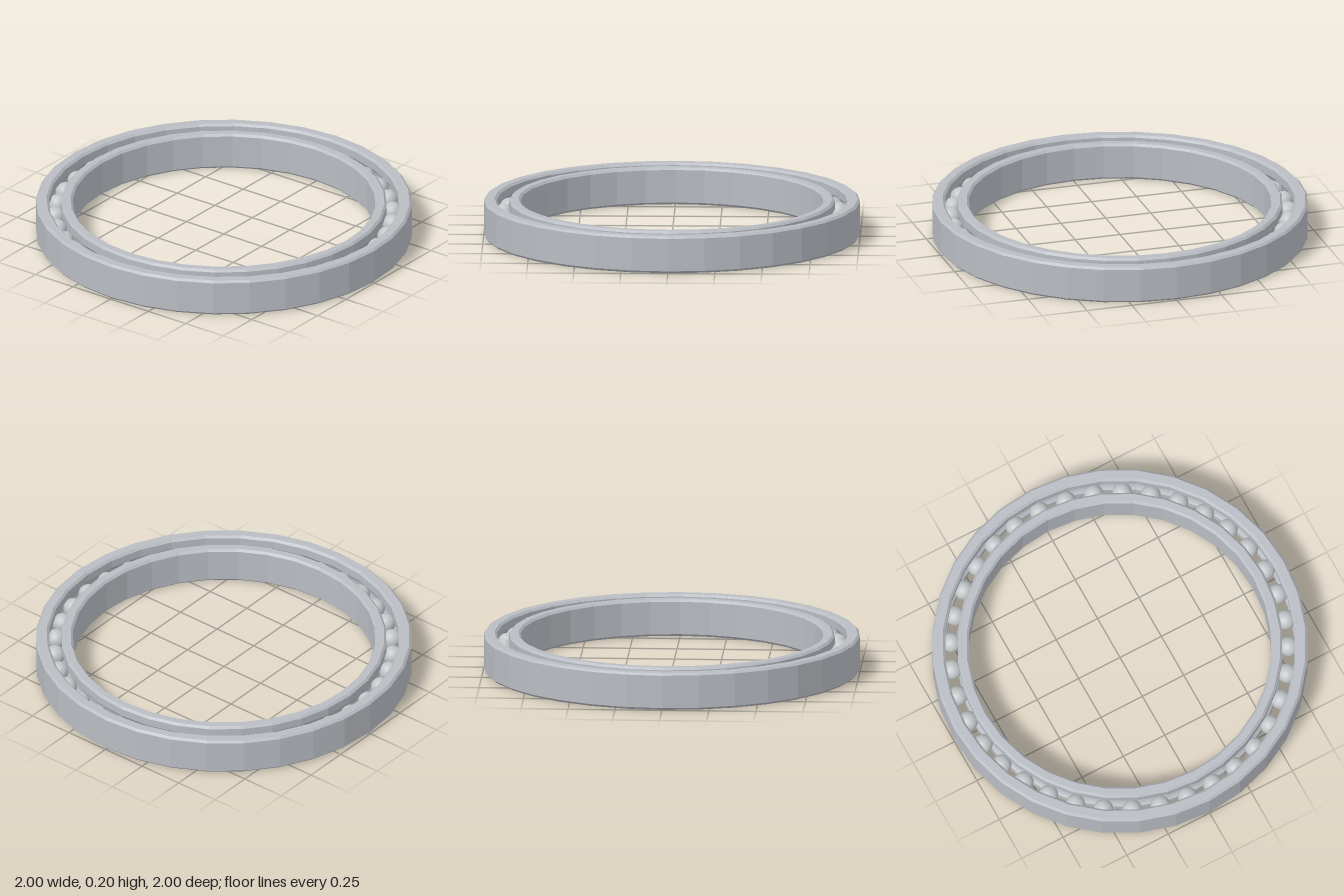
import * as THREE from 'three';

const HEIGHT = 0.2, BEVEL = 0.012, SEGMENTS = 32;
const ORBIT = 0.898, BALL_RADIUS = 0.053, BALLS = 37, GROOVE = 0.056;

// Points of the raceway groove where it cuts a wall of the given radius
function groove(wall, up) {
  const side = Math.sign(wall - ORBIT);
  const half = Math.acos(Math.abs(wall - ORBIT) / GROOVE);
  const points = [];
  for (let i = 0; i <= 8; i++) {
    const a = half * (i / 4 - 1) * (up ? 1 : -1);
    points.push(new THREE.Vector2(ORBIT + side * GROOVE * Math.cos(a), HEIGHT / 2 + GROOVE * Math.sin(a)));
  }
  return points;
}

// Closed, bevelled ring section turned around the y axis
function ring(name, inner, outer, grooveOutside, material) {
  const p = (x, y) => new THREE.Vector2(x, y);
  const b = BEVEL;
  const profile = [
    p(inner + b, 0), p(outer - b, 0), p(outer, b),
    ...(grooveOutside ? groove(outer, true) : []),
    p(outer, HEIGHT - b), p(outer - b, HEIGHT), p(inner + b, HEIGHT), p(inner, HEIGHT - b),
    ...(grooveOutside ? [] : groove(inner, false)),
    p(inner, b), p(inner + b, 0),
  ];
  const geometry = new THREE.LatheGeometry(profile, SEGMENTS).toNonIndexed();
  geometry.computeVertexNormals();
  const mesh = new THREE.Mesh(geometry, material);
  mesh.name = name;
  return mesh;
}

export function createModel() {
  const model = new THREE.Group();
  model.name = 'ballBearing';
  const ringSteel = new THREE.MeshStandardMaterial({ color: 0xb9bdc3 });
  ringSteel.name = 'ring steel';
  const ballSteel = new THREE.MeshStandardMaterial({ color: 0xc2c6c8 });
  ballSteel.name = 'ball steel';

  // Races
  model.add(ring('outerRace', 0.932, 1, false, ringSteel));
  model.add(ring('innerRace', 0.805, 0.866, true, ringSteel));

  // Balls
  const balls = new THREE.Group();
  balls.name = 'balls';
  const sphere = new THREE.SphereGeometry(BALL_RADIUS, 24, 16);
  for (let i = 0; i < BALLS; i++) {
    const a = (i / BALLS) * Math.PI * 2;
    const ball = new THREE.Mesh(sphere, ballSteel);
    ball.name = 'ball';
    ball.position.set(ORBIT * Math.cos(a), HEIGHT / 2, ORBIT * Math.sin(a));
    balls.add(ball);
  }
  model.add(balls);
  return model;
}
